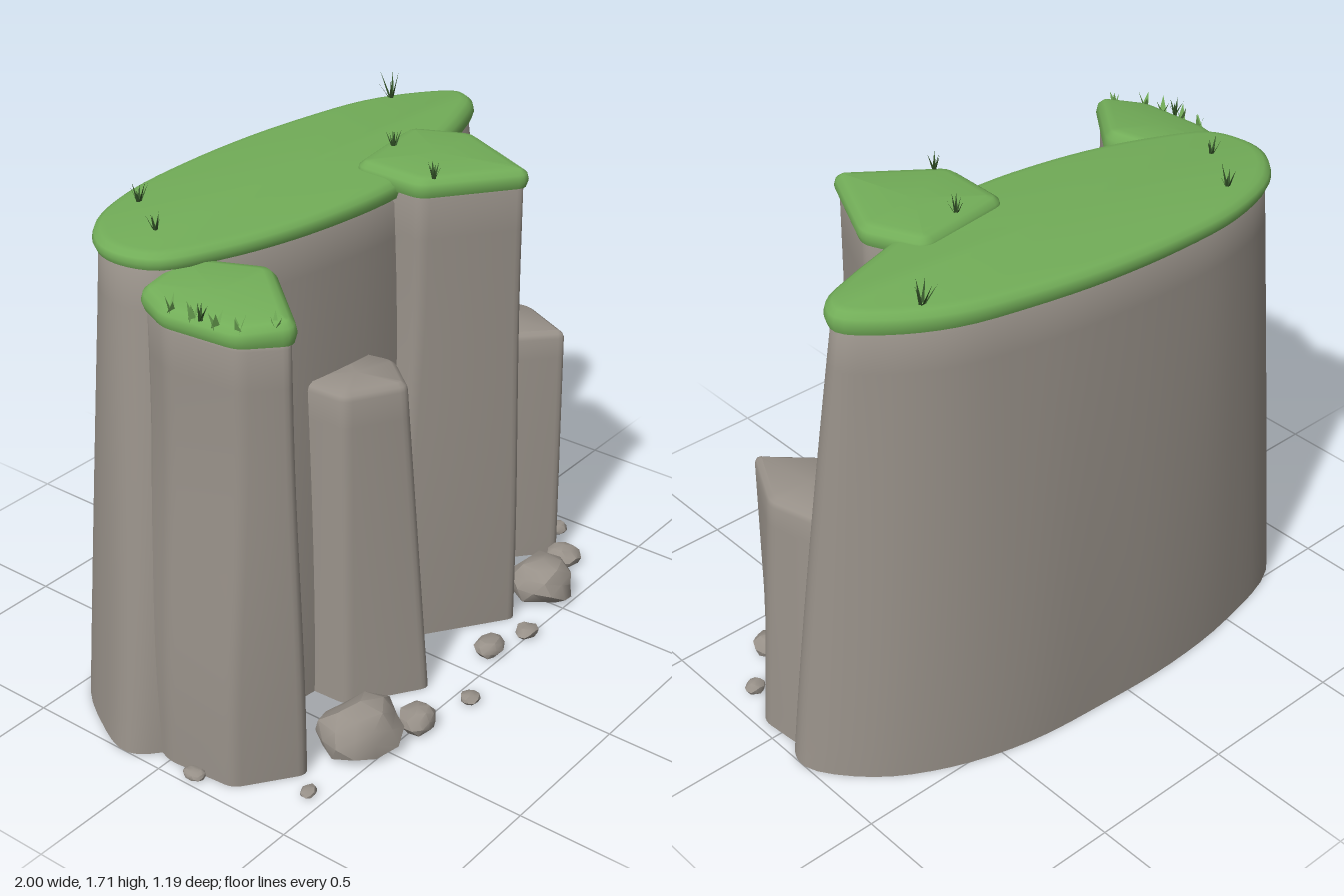
import * as THREE from 'three';
import { mergeVertices, toCreasedNormals } from 'three/addons/utils/BufferGeometryUtils.js';

const rock = new THREE.MeshStandardMaterial({ color: 0x979088 });
rock.name = 'warm grey rock';
const grass = new THREE.MeshStandardMaterial({ color: 0x72ad58, side: THREE.DoubleSide });
grass.name = 'meadow green';
const darkGrass = new THREE.MeshStandardMaterial({ color: 0x35562a, side: THREE.DoubleSide });
darkGrass.name = 'dark green';

let seed = 7;
const rand = () => (seed = (seed * 16807) % 2147483647) / 2147483647;
const lerp = THREE.MathUtils.lerp;
const mix = (a, b, t) => a.map((p, i) => [lerp(p[0], b[i][0], t), lerp(p[1], b[i][1], t)]);

// Smooth closed outline through [x, z] points
function smoothOutline(pts) {
  const curve = new THREE.CatmullRomCurve3(pts.map(([x, z]) => new THREE.Vector3(x, 0, z)), true);
  return Array.from({ length: pts.length * 4 }, (_, i) => {
    const p = curve.getPoint(i / (pts.length * 4));
    return [p.x, p.z];
  });
}

// Polygon with rounded corners
function roundedOutline(pts, r = 0.03) {
  const n = pts.length, out = [];
  pts.forEach((p, i) => {
    const toward = (q) => {
      const k = r / Math.hypot(q[0] - p[0], q[1] - p[1]);
      return [lerp(p[0], q[0], k), lerp(p[1], q[1], k)];
    };
    const a = toward(pts[(i + n - 1) % n]), b = toward(pts[(i + 1) % n]);
    for (let k = 0; k <= 4; k++) {
      const t = k / 4, u = 1 - t;
      out.push([0, 1].map((c) => u * u * a[c] + 2 * u * t * p[c] + t * t * b[c]));
    }
  });
  return out;
}

// Grow (d > 0) or shrink an outline along its normals
function offset(pts, d) {
  const n = pts.length;
  return pts.map((p, i) => {
    const a = pts[(i + n - 1) % n], b = pts[(i + 1) % n];
    const tx = b[0] - a[0], tz = b[1] - a[1], l = Math.hypot(tx, tz);
    return [p[0] - (tz / l) * d, p[1] + (tx / l) * d];
  });
}

// Closed solid through rings [outline, y], where y may be a function of x
function loft(rings, name, material, crease = 0.75) {
  const pos = [], idx = [], n = rings[0][0].length;
  for (const [pts, y] of rings) {
    for (const [x, z] of pts) pos.push(x, typeof y === 'function' ? y(x) : y, z);
  }
  for (let r = 0; r < rings.length - 1; r++) {
    for (let i = 0; i < n; i++) {
      const j = (i + 1) % n, a = r * n + i, b = r * n + j;
      idx.push(a, b, b + n, a, b + n, a + n);
    }
  }
  const cap = (r, up) => {
    const c = [0, 0, 0], start = r * n;
    for (let i = 0; i < n; i++) for (let k = 0; k < 3; k++) c[k] += pos[(start + i) * 3 + k] / n;
    const centre = pos.length / 3;
    pos.push(...c);
    for (let i = 0; i < n; i++) {
      const a = start + i, b = start + (i + 1) % n;
      idx.push(centre, up ? a : b, up ? b : a);
    }
  };
  cap(0, false);
  cap(rings.length - 1, true);
  const geo = new THREE.BufferGeometry();
  geo.setAttribute('position', new THREE.Float32BufferAttribute(pos, 3));
  geo.setIndex(idx);
  const mesh = new THREE.Mesh(toCreasedNormals(geo, crease), material);
  mesh.name = name;
  return mesh;
}

// Turf slab with a rounded rim following an outline
function turf(outline, bottom, top, name) {
  const at = (k) => (x) => lerp(bottom, top(x), k);
  return loft([
    [offset(outline, -0.02), at(0)], [offset(outline, 0.008), at(0.12)],
    [offset(outline, 0.016), at(0.45)], [offset(outline, 0.01), at(0.75)],
    [offset(outline, -0.008), at(0.94)], [offset(outline, -0.03), at(1)],
  ], name, grass, 0.9);
}

// Rock column: vertical flanks that flare toward the foot
function column(foot, head, height, flare, name) {
  const a = roundedOutline(foot), b = roundedOutline(head), rings = [];
  for (let i = 0; i <= 12; i++) {
    const t = i / 12;
    const s = flare ? lerp(t, THREE.MathUtils.smoothstep(t, 0.1, 0.85), 0.7) : t;
    rings.push([mix(a, b, s), t * (height - 0.025)]);
  }
  rings.push([offset(b, -0.006), height - 0.01], [offset(b, -0.022), height]);
  return loft(rings, name, rock);
}

// Fan of thin pointed blades
function tuft(x, y, z, height, width, count, material, name) {
  const pos = [], spin = rand() * 6.28;
  for (let i = 0; i < count; i++) {
    const a = spin + (i / count) * Math.PI * 2, c = Math.cos(a), s = Math.sin(a);
    const h = height * (0.65 + 0.35 * rand()), lean = height * (0.2 + 0.35 * rand());
    pos.push(-s * width, -0.01, c * width, s * width, -0.01, -c * width, c * lean, h, s * lean);
  }
  const geo = new THREE.BufferGeometry();
  geo.setAttribute('position', new THREE.Float32BufferAttribute(pos, 3));
  geo.computeVertexNormals();
  const mesh = new THREE.Mesh(geo, material);
  mesh.position.set(x, y, z);
  mesh.name = name;
  return mesh;
}

// Lumpy boulder resting on the ground
function boulder(x, z, rx, rz, h, turn) {
  let geo = new THREE.IcosahedronGeometry(1, 1);
  geo.deleteAttribute('normal');
  geo.deleteAttribute('uv');
  geo = mergeVertices(geo);
  const p = geo.attributes.position;
  for (let i = 0; i < p.count; i++) {
    const k = 0.86 + 0.24 * rand();
    p.setXYZ(i, p.getX(i) * k * rx, Math.max(0, h * (0.42 + 0.58 * p.getY(i) * k)), p.getZ(i) * k * rz);
  }
  const mesh = new THREE.Mesh(toCreasedNormals(geo, 0.6), rock);
  mesh.position.set(x, 0, z);
  mesh.rotation.y = turn;
  mesh.name = 'boulder';
  return mesh;
}

export function createModel() {
  const model = new THREE.Group();
  model.name = 'cliff';

  // Main cliff body
  const foot = smoothOutline([[-1, -0.13], [-0.9, -0.02], [-0.7, 0.06], [-0.45, 0.12], [-0.2, 0.14], [0.03, 0.14],
    [0.3, 0.12], [0.57, 0.06], [0.8, 0.01], [0.97, -0.08], [1, -0.17], [0.87, -0.35], [0.66, -0.48], [0.4, -0.56],
    [0.1, -0.59], [-0.2, -0.6], [-0.5, -0.57], [-0.8, -0.48], [-0.94, -0.3]]);
  const head = smoothOutline([[-0.79, -0.24], [-0.75, -0.13], [-0.58, -0.04], [-0.4, 0.02], [-0.2, 0.06], [0.03, 0.08],
    [0.25, 0.06], [0.48, -0.03], [0.66, -0.09], [0.79, -0.15], [0.82, -0.22], [0.73, -0.32], [0.56, -0.42], [0.33, -0.48],
    [0.08, -0.52], [-0.2, -0.535], [-0.45, -0.52], [-0.66, -0.45], [-0.77, -0.34]]);
  const rings = [];
  for (let i = 0; i <= 14; i++) {
    const t = i / 14;
    // sides lean in steadily, the back stays steep until near the top
    rings.push([foot.map((p, k) => [lerp(p[0], head[k][0], t), lerp(p[1], head[k][1], t ** 1.5)]), t * 1.54]);
  }
  rings.push([offset(head, -0.025), 1.575]);
  model.add(loft(rings, 'cliffBody', rock));
  model.add(turf(head, 1.55, (x) => 1.617 + 0.014 * x, 'plateauGrass'));

  // Columns against the front face
  const rightHead = [[-0.88, 0.0], [-0.86, 0.25], [-0.75, 0.36], [-0.555, 0.12], [-0.64, -0.14], [-0.82, -0.13]];
  const centreHead = [[0.07, 0.18], [0.34, 0.385], [0.49, 0.07], [0.41, -0.11], [0.08, -0.06]];
  model.add(
    column([[-0.95, 0.0], [-0.93, 0.24], [-0.74, 0.38], [-0.47, 0.12], [-0.55, -0.14], [-0.9, -0.13]],
      rightHead, 1.48, true, 'rightColumn'),
    column([[-0.4, 0.02], [-0.39, 0.25], [-0.15, 0.41], [0.01, 0.18], [0.0, 0.02]],
      [[-0.35, 0.0], [-0.345, 0.21], [-0.16, 0.32], [-0.045, 0.18], [-0.08, 0.0]], 1.09, false, 'shortColumn'),
    column([[0.0, 0.16], [0.35, 0.405], [0.57, 0.08], [0.5, -0.11], [0.02, -0.06]],
      centreHead, 1.6, true, 'centreColumn'),
    column([[0.56, 0.09], [0.79, 0.29], [0.97, 0.08], [0.95, -0.12], [0.6, -0.1]],
      [[0.61, 0.09], [0.8, 0.275], [0.91, 0.05], [0.86, -0.13], [0.62, -0.1]], 0.875, false, 'leftColumn'),
  );
  model.add(turf(roundedOutline(rightHead), 1.46, (x) => 1.53 + 0.15 * (x + 0.86), 'rightColumnGrass'));
  model.add(turf(roundedOutline(centreHead), 1.575, () => 1.645, 'centreColumnGrass'));

  // Ragged turf edge on the right column
  for (const [x, z] of [[-0.87, 0.02], [-0.87, 0.1], [-0.865, 0.18], [-0.85, 0.25], [-0.78, 0.32]]) {
    model.add(tuft(x, 1.52, z, 0.05, 0.014, 3, grass, 'raggedTurf'));
  }

  // Grass tufts
  for (const [x, y, z, h] of [[-0.635, 1.605, -0.25, 0.06], [-0.515, 1.605, -0.43, 0.075], [0.11, 1.64, 0.2, 0.055],
    [0.24, 1.64, -0.05, 0.065], [0.625, 1.62, -0.35, 0.09], [-0.87, 1.53, 0.13, 0.055]]) {
    model.add(tuft(x, y, z, h, 0.007, 6, darkGrass, 'grassTuft'));
  }

  // Fallen boulders: x, z, half width, half depth, height, turn
  for (const b of [[-0.53, 0.42, 0.145, 0.115, 0.165, -0.4], [-0.34, 0.5, 0.07, 0.06, 0.08, 0.4],
    [-0.81, 0.44, 0.035, 0.025, 0.025, 0], [-0.96, 0.11, 0.03, 0.04, 0.03, 0], [-0.13, 0.555, 0.036, 0.032, 0.035, 0.5],
    [0.13, 0.45, 0.06, 0.05, 0.06, 0.2], [0.29, 0.49, 0.045, 0.038, 0.04, 0], [0.53, 0.39, 0.115, 0.12, 0.145, 0.3],
    [0.745, 0.34, 0.058, 0.062, 0.07, 0.4], [0.905, 0.215, 0.036, 0.032, 0.045, 0]]) {
    model.add(boulder(...b));
  }
  return model;
}
